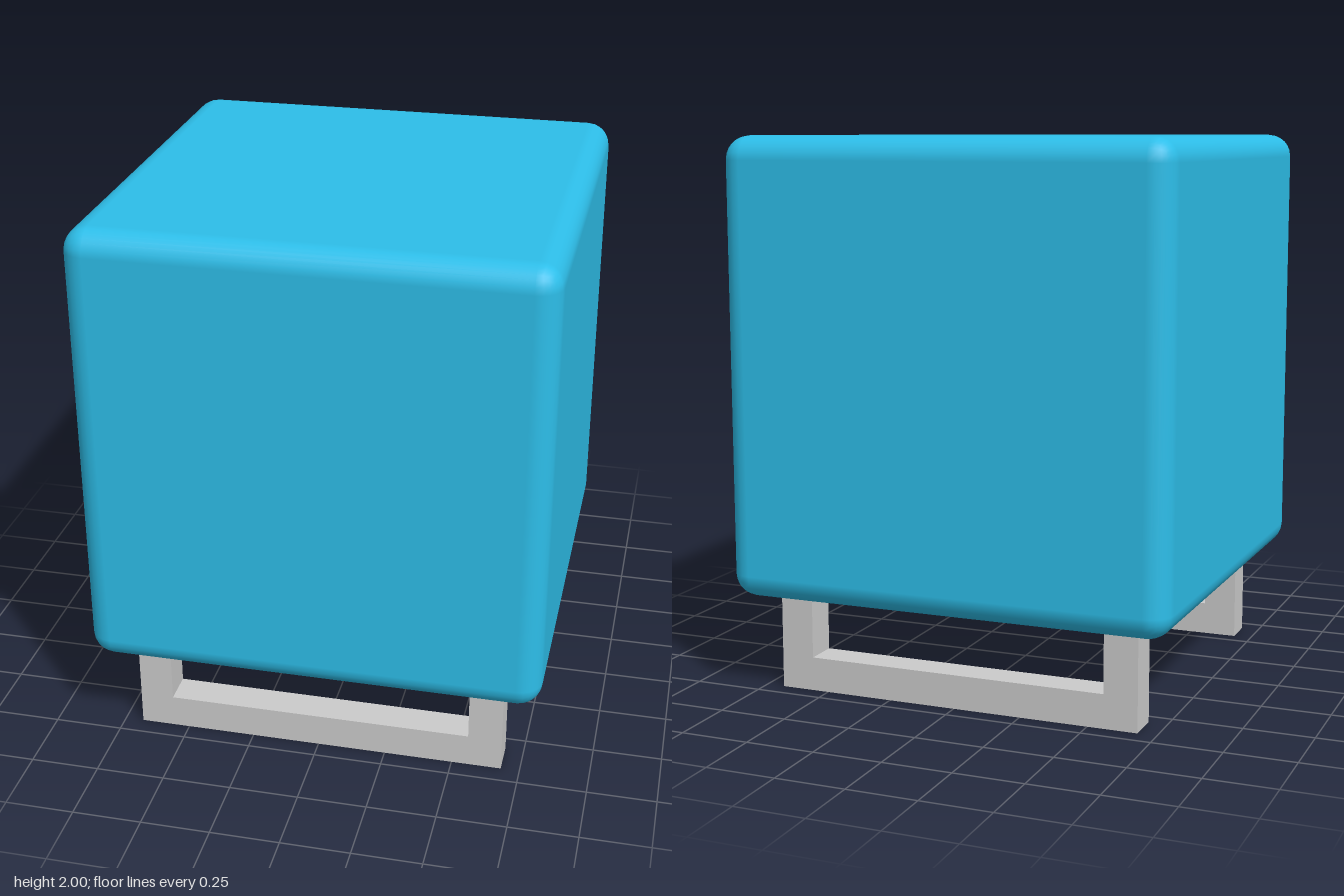
import * as THREE from 'three';
import { RoundedBoxGeometry } from 'three/addons/geometries/RoundedBoxGeometry.js';

const SIZE = 1.645;      // cushion edge length
const BOTTOM = 0.355;    // underside of the cushion
const OUTER = 0.682;     // half width of the leg frames
const BAR = 0.123;       // thickness of the frame bars

export function createModel() {
  const group = new THREE.Group();
  const fabric = new THREE.MeshStandardMaterial({ color: 0x2dbee9 });
  const metal = new THREE.MeshStandardMaterial({ color: 0xcccccc });

  // Cube cushion with softly rounded edges
  const cushion = new THREE.Mesh(new RoundedBoxGeometry(SIZE, SIZE, SIZE, 3, 0.085), fabric);
  cushion.name = 'cushion';
  cushion.position.y = BOTTOM + SIZE / 2;
  group.add(cushion);

  // U-shaped leg frame: two uprights joined by a floor rail
  const inner = OUTER - BAR;
  const top = BOTTOM + 0.003;
  const outline = new THREE.Shape([
    [-OUTER, 0], [OUTER, 0], [OUTER, top], [inner, top],
    [inner, BAR], [-inner, BAR], [-inner, top], [-OUTER, top],
  ].map(([x, y]) => new THREE.Vector2(x, y)));
  const frame = new THREE.ExtrudeGeometry(outline, { depth: BAR, bevelEnabled: false });
  frame.translate(0, 0, -BAR / 2);

  // One frame at the front, one at the back
  for (const [name, side] of [['frontLegFrame', 1], ['backLegFrame', -1]]) {
    const legs = new THREE.Mesh(frame, metal);
    legs.name = name;
    legs.position.z = side * (OUTER - BAR / 2);
    group.add(legs);
  }
  return group;
}
